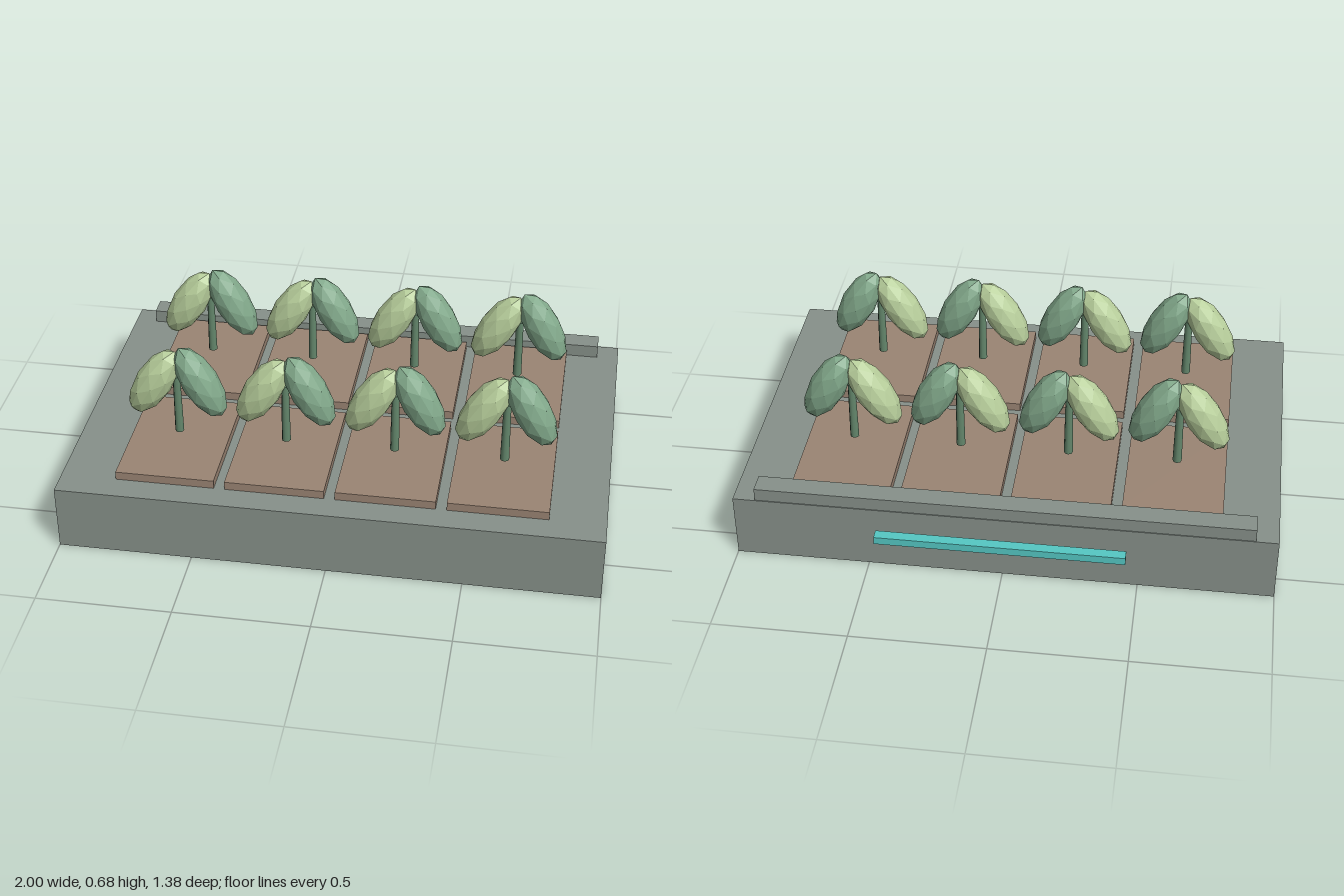
import * as THREE from 'three';

const mat = (name, color, flatShading = false) => {
  const m = new THREE.MeshStandardMaterial({ color, flatShading });
  m.name = name;
  return m;
};

export function createModel() {
  const stone = mat('greyStone', 0x87918a);
  const soil = mat('brownSoil', 0x9b8574);
  const stemGreen = mat('stemGreen', 0x64876c);
  const paleLeaf = mat('paleLeaf', 0xb8cf9c, true);
  const deepLeaf = mat('deepLeaf', 0x82a98b, true);
  const cyan = mat('cyan', 0x55c8c4);

  const model = new THREE.Group();
  model.name = 'planterTray';

  const add = (parent, name, geometry, material, x, y, z) => {
    const mesh = new THREE.Mesh(geometry, material);
    mesh.name = name;
    mesh.position.set(x, y, z);
    parent.add(mesh);
    return mesh;
  };

  // Tray, rear rail and the bar floating behind it
  add(model, 'tray', new THREE.BoxGeometry(2, 0.252, 1.287), stone, 0, 0.126, 0.0455);
  add(model, 'rearRail', new THREE.BoxGeometry(1.834, 0.052, 0.08), stone, 0, 0.276, -0.555);
  add(model, 'rearBar', new THREE.BoxGeometry(0.916, 0.03, 0.04), cyan, 0, 0.185, -0.668);

  // Shared plot and plant geometry
  const bedGeo = new THREE.BoxGeometry(0.367, 0.036, 0.511);
  const stemGeo = new THREE.CylinderGeometry(0.014, 0.017, 0.24, 8);
  const leafGeo = new THREE.IcosahedronGeometry(1, 1).scale(0.069, 0.16, 0.069);

  // Two rows of four beds, each with a two-leaved seedling
  for (const z of [0.334, -0.243]) {
    for (let i = 0; i < 4; i++) {
      const x = (i - 1.5) * 0.407;
      add(model, 'soilBed', bedGeo, soil, x, 0.266, z);

      const plant = new THREE.Group();
      plant.name = 'seedling';
      plant.position.set(x, 0, z);
      add(plant, 'stem', stemGeo, stemGreen, 0, 0.437, 0);
      add(plant, 'rightLeaf', leafGeo, paleLeaf, -0.085, 0.528, 0).rotation.z = -0.55;
      add(plant, 'leftLeaf', leafGeo, deepLeaf, 0.089, 0.54, 0).rotation.z = 0.5;
      model.add(plant);
    }
  }
  return model;
}
